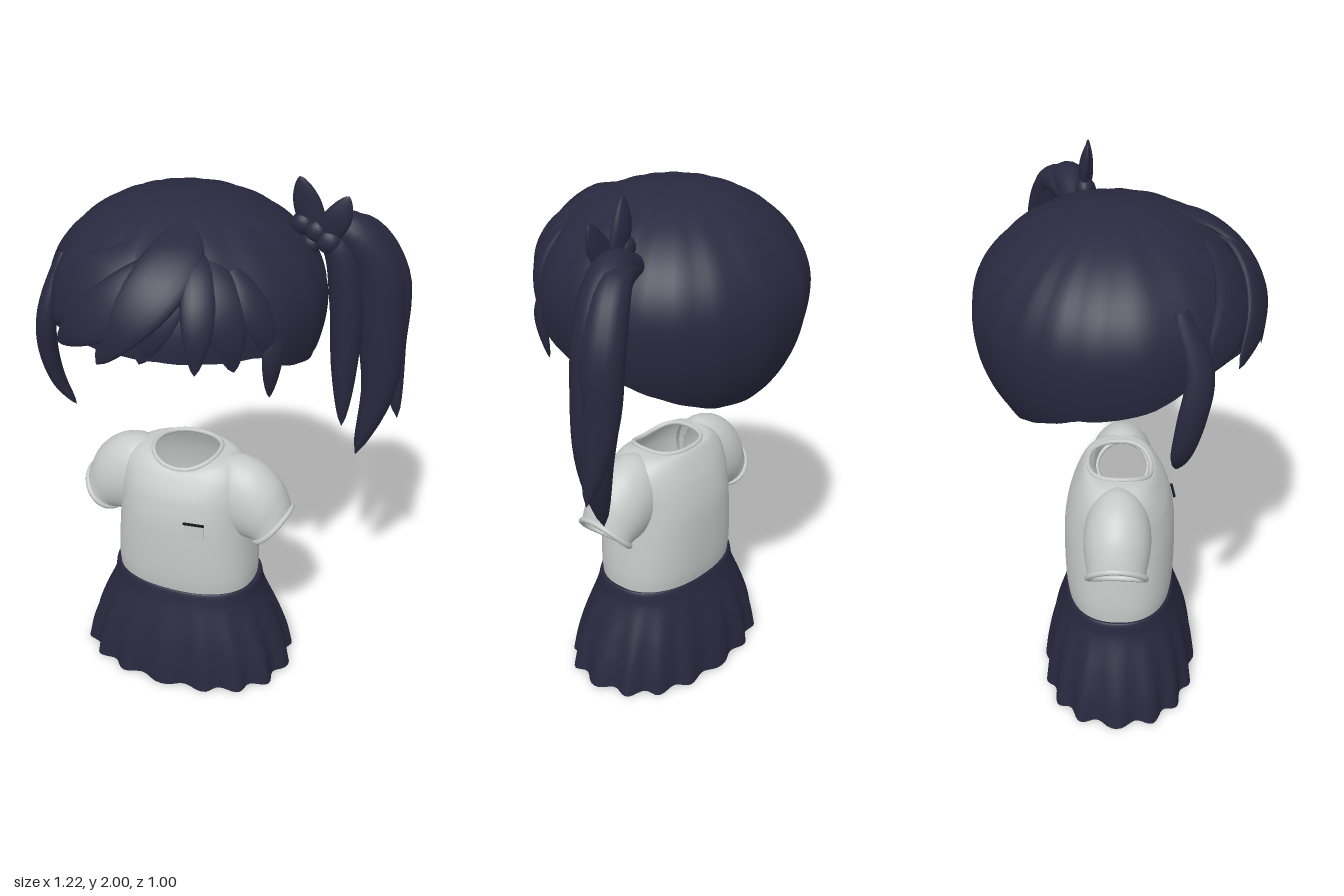
import * as THREE from 'three';

const V = (x, y, z) => new THREE.Vector3(x, y, z);
const CX = -0.125; // middle of the body and head
const TAU = Math.PI * 2;

// Smooth surface from fn(u, a): u runs 0..1 along, a runs once around
function loft(fn, rows, cols, skip) {
  const pos = [], index = [];
  for (let i = 0; i <= rows; i++)
    for (let j = 0; j < cols; j++) pos.push(...fn(i / rows, (j / cols) * TAU).toArray());
  for (let i = 0; i < rows; i++)
    for (let j = 0; j < cols; j++) {
      const k = (j + 1) % cols;
      if (skip && skip(fn((i + 0.5) / rows, ((j + 0.5) / cols) * TAU))) continue;
      const a = i * cols + j, b = i * cols + k, c = a + cols, d = b + cols;
      index.push(a, c, b, b, c, d);
    }
  const g = new THREE.BufferGeometry();
  g.setAttribute('position', new THREE.Float32BufferAttribute(pos, 3));
  g.setIndex(index);
  g.computeVertexNormals();
  return g;
}

// Piecewise linear lookup in [key, value] pairs
function lookup(table, x) {
  for (let i = 1; i < table.length; i++) {
    const [x0, y0] = table[i - 1], [x1, y1] = table[i];
    if (x <= x1) return y0 + (y1 - y0) * Math.max(0, (x - x0) / (x1 - x0));
  }
  return table[table.length - 1][1];
}

// Rounded-rectangle direction, a = 0 faces front
function squircle(a, n) {
  const s = Math.sin(a), c = Math.cos(a), p = 2 / n;
  return [Math.sign(s) * Math.abs(s) ** p, Math.sign(c) * Math.abs(c) ** p];
}

// Smooth curve through [y, halfX, halfZ] sections
const sections = (list) => new THREE.CatmullRomCurve3(list.map(([y, x, z]) => V(x, y, z)));

// Point on the hair dome
function dome(a, phi, lift = 0) {
  const c = Math.cos(phi), s = Math.sin(phi);
  return V(CX + (0.489 + lift) * s * Math.sin(a),
    1.57 + (c > 0 ? 0.365 + lift : 0.52) * c,
    -0.02 + (0.478 + lift) * s * Math.cos(a));
}

// Leaf-shaped strand along points; the flat side faces the hint, or away from the head.
// A higher skew moves the fullest part toward the tip.
function strand(points, width, depth, hint, skew = 0.9) {
  const curve = new THREE.CatmullRomCurve3(points);
  return loft((u, a) => {
    const p = curve.getPoint(u), t = curve.getTangent(u);
    const out = hint ? hint.clone() : p.clone().sub(V(CX, 1.5, -0.02));
    const side = V(0, 0, 0).crossVectors(t, out).normalize();
    out.crossVectors(side, t).normalize();
    const k = Math.max(0.001, Math.sin(Math.PI * (0.1 + 0.9 * u ** skew))) ** 0.65;
    return p.addScaledVector(side, width * k * Math.cos(a)).addScaledVector(out, depth * k * Math.sin(a));
  }, 28, 16);
}

export function createModel() {
  const model = new THREE.Group();
  const material = (name, color) => {
    const m = new THREE.MeshStandardMaterial({ color, side: THREE.DoubleSide });
    m.name = name;
    return m;
  };
  const navy = material('navy', 0x292940);
  const cloth = material('light grey cloth', 0xc8cac9);
  const black = material('black trim', 0x15151c);
  const add = (name, geometry, mat, parent = model) => {
    const m = new THREE.Mesh(geometry, mat);
    m.name = name;
    parent.add(m);
    return m;
  };
  const group = (name) => {
    const g = new THREE.Group();
    g.name = name;
    model.add(g);
    return g;
  };

  // Hair cap: open dome, short over the face and low at the nape
  const hair = group('hair');
  const rim = [[0, 1.53], [0.9, 1.52], [1.1, 1.46], [1.25, 1.43], [1.5, 1.4], [1.8, 1.385], [2.1, 1.33],
    [2.4, 1.28], [2.7, 1.24], [3.15, 1.23]];
  add('hairCap', loft((u, a) => {
    const y = lookup(rim, Math.min(a, TAU - a));
    const end = Math.acos((y - 1.57) / (y > 1.57 ? 0.365 : 0.52));
    const phi = Math.max(0.001, u * end);
    return dome(a, phi, 0.003 * Math.sin(phi) * Math.sin(19 * a + 2 * Math.sin(3 * a)));
  }, 36, 96), navy, hair);

  // Fringe strands swept over the dome: [start angle, start drop, end angle, end drop, width, end lift]
  const fringe = [
    [0.3, 0.75, -0.62, 1.7, 0.1, 0.034], [0.4, 0.45, -0.22, 1.72, 0.1, 0.034], [0.3, 0.75, 0.06, 1.69, 0.08, -0.006],
    [0.5, 0.7, 0.44, 1.72, 0.06, 0.022], [0.6, 0.8, 0.72, 1.75, 0.08, -0.006], [-0.15, 0.75, -0.95, 1.69, 0.1, 0.0],
    [0.8, 0.9, 1.05, 1.8, 0.06, -0.012],
  ];
  fringe.forEach(([a0, p0, a1, p1, w, lift]) => {
    const pts = [0, 0.25, 0.5, 0.75, 1].map((t) =>
      dome(a0 + (a1 - a0) * t ** 1.2, p0 + (p1 - p0) * t, -0.01 + (lift + 0.01) * t));
    add('fringeStrand', strand(pts, w, 0.025), navy, hair);
  });

  // Locks beside the face
  add('rightSideLock', strand([V(-0.49, 1.74, 0.2), V(-0.53, 1.54, 0.265), V(-0.55, 1.38, 0.243),
    V(-0.53, 1.24, 0.215), V(-0.475, 1.145, 0.2)], 0.055, 0.036), navy, hair);
  add('leftSideLock', strand([V(0.275, 1.62, 0.2), V(0.285, 1.5, 0.23), V(0.27, 1.34, 0.21)],
    0.042, 0.022), navy, hair);

  // Side ponytail of three tapering locks
  const tail = group('ponytail');
  const across = V(0.4, 0, 0.9).normalize();
  add('outerTailLock', strand([V(0.25, 1.78, -0.17), V(0.38, 1.805, -0.2), V(0.48, 1.69, -0.24),
    V(0.515, 1.45, -0.25), V(0.525, 1.2, -0.245), V(0.46, 0.91, -0.22)], 0.088, 0.088, across, 1.2), navy, tail);
  add('innerTailLock', strand([V(0.27, 1.79, -0.15), V(0.36, 1.76, -0.165), V(0.405, 1.55, -0.18),
    V(0.41, 1.3, -0.18), V(0.415, 1.05, -0.17)], 0.06, 0.066, across, 1.15), navy, tail);
  add('backTailLock', strand([V(0.28, 1.78, -0.19), V(0.43, 1.79, -0.25), V(0.53, 1.62, -0.295),
    V(0.548, 1.35, -0.295), V(0.595, 1.07, -0.27)], 0.064, 0.074, across, 1.2), navy, tail);

  // Ribbon with two pointed ears and small knot lobes
  const ribbon = group('ribbon');
  const front = V(0.1, 0, 1);
  add('ribbonEar', strand([V(0.31, 1.77, -0.14), V(0.265, 1.9, -0.135), V(0.24, 2.0, -0.12)], 0.05, 0.02, front), navy, ribbon);
  add('ribbonEar', strand([V(0.3, 1.77, -0.14), V(0.37, 1.86, -0.13), V(0.41, 1.95, -0.13)], 0.05, 0.02, front), navy, ribbon);
  [[0.25, 1.83, 0.04], [0.345, 1.78, 0.045], [0.28, 1.76, 0.035], [0.3, 1.81, 0.04]].forEach(([x, y, r]) => {
    const lobe = add('ribbonLobe', new THREE.SphereGeometry(r, 16, 12), navy, ribbon);
    lobe.position.set(x, y, -0.135);
    lobe.scale.z = 0.8;
  });

  // Shirt body, open at the neck, hem and armholes
  const shirt = group('shirt');
  const torso = sections([[0.38, 0.272, 0.19], [0.45, 0.275, 0.2], [0.6, 0.265, 0.205], [0.72, 0.255, 0.2],
    [0.82, 0.25, 0.178], [0.885, 0.232, 0.152], [0.925, 0.185, 0.13], [0.933, 0.125, 0.115]]);
  const torsoPoint = (u, a) => {
    const s = torso.getPoint(u), [x, z] = squircle(a, 2.4);
    const dip = 0.035 * THREE.MathUtils.clamp((s.y - 0.8) / 0.13, 0, 1) * (z * 0.5 + 0.5) * (1 - x * x);
    return V(CX + s.x * x, s.y - dip, s.z * z);
  };
  add('shirtBody', loft(torsoPoint, 72, 144, (p) =>
    Math.abs(p.x - CX) > 0.15 && (p.z / 0.108) ** 2 + ((p.y - 0.755) / 0.147) ** 2 < 1), cloth, shirt);
  const ringTube = (fn, r) => new THREE.TubeGeometry(new THREE.CatmullRomCurve3(
    Array.from({ length: 24 }, (_, i) => fn((i / 24) * TAU)), true), 64, r, 8, true);
  add('collar', ringTube((a) => torsoPoint(1, a), 0.009), cloth, shirt);

  // Puffed short sleeves with rolled cuffs
  const upper = new THREE.CatmullRomCurve3([V(0.16, 0.93, 0.116), V(0.21, 0.938, 0.12), V(0.29, 0.915, 0.12),
    V(0.36, 0.855, 0.114), V(0.395, 0.79, 0.106), V(0.41, 0.745, 0.104)]);
  const lower = new THREE.CatmullRomCurve3([V(0.235, 0.6, 0), V(0.245, 0.601, 0), V(0.255, 0.604, 0),
    V(0.262, 0.608, 0), V(0.27, 0.611, 0), V(0.282, 0.614, 0)]);
  for (const side of [1, -1]) {
    const sleevePoint = (u, a) => {
      const t = upper.getPoint(u), b = lower.getPoint(u), k = Math.cos(a) * 0.5 + 0.5;
      const sag = 0.014 * u * Math.sin(a) ** 2;
      return V(CX + side * (b.x + (t.x - b.x) * k), b.y + (t.y - b.y) * k - sag, t.z * Math.sin(a));
    };
    const label = side > 0 ? 'left' : 'right';
    add(label + 'Sleeve', loft(sleevePoint, 24, 40), cloth, shirt);
    add(label + 'Cuff', ringTube((a) => sleevePoint(1, a), 0.011), cloth, shirt);
  }

  // Chest pocket with a dark top edge
  const pocketShape = new THREE.Shape([[-0.036, 0], [-0.036, -0.055], [0, -0.075], [0.036, -0.055], [0.036, 0]]
    .map(([x, y]) => new THREE.Vector2(x, y)));
  const pocket = add('pocket', new THREE.ExtrudeGeometry(pocketShape, { depth: 0.006, bevelEnabled: false }), cloth, shirt);
  pocket.position.set(-0.02, 0.725, 0.192);
  pocket.rotation.y = 0.14;
  const trim = add('pocketTrim', new THREE.BoxGeometry(0.08, 0.006, 0.009), black, shirt);
  trim.position.set(-0.02, 0.727, 0.198);
  trim.rotation.y = 0.14;

  // Pleated skirt, flaring to a scalloped hem
  const skirt = group('skirt');
  const flare = sections([[0.392, 0.268, 0.188], [0.4, 0.288, 0.2], [0.34, 0.3, 0.216], [0.2, 0.358, 0.257],
    [0.1, 0.392, 0.275], [0.006, 0.41, 0.285]]);
  add('skirtPleats', loft((u, a) => {
    const s = flare.getPoint(u), [x, z] = squircle(a, 2.3);
    const t = THREE.MathUtils.clamp((0.38 - s.y) / 0.38, 0, 1);
    const wave = Math.cos(16 * a + 0.8 * Math.sin(2 * a)), k = 1 + 0.038 * t * wave;
    return V(CX + s.x * x * k, s.y - 0.004 * t * wave, s.z * z * k);
  }, 30, 160), navy, skirt);

  // Shorts under the skirt: two legs widening toward the hips
  for (const side of [1, -1])
    add('shortsLeg', loft((u, a) => V(CX + side * 0.137 + (0.135 - 0.008 * u) * Math.sin(a),
      0.37 - 0.355 * u, (0.175 - 0.045 * u) * Math.cos(a)), 8, 36), navy, skirt);
  return model;
}
